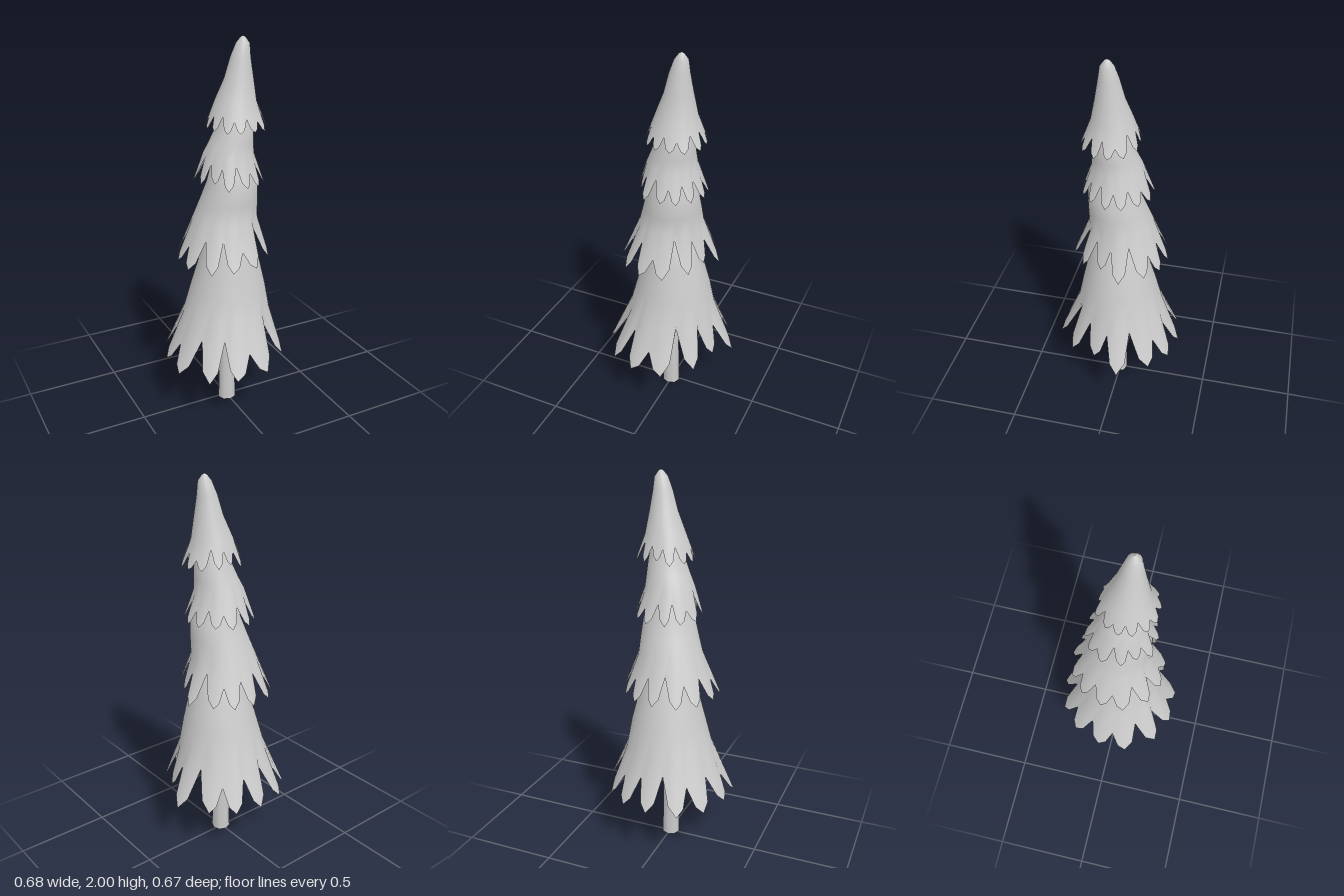
import * as THREE from 'three';

const material = new THREE.MeshStandardMaterial({ color: 0xcccccc, side: THREE.DoubleSide });

// Uneven teeth of a hem: direction in degrees from +x towards +z, reach of the tip,
// reach of the notch before it (0 = average notch, 1 = average tip)
const TEETH = [
  [-90, 0.95, -0.07], [-65, 0.94, 0.05], [-40, 0.89, 0.22], [-9, 1.05, -0.21], [17, 0.4, -0.09],
  [45, 0.71, -0.27], [77, 0.96, -0.42], [107, 1.04, 0.34], [131, 1.18, -0.05], [162, 1.14, 0],
  [189, 1, 0.35], [217, 1.05, 0.12], [242, 1.06, 0.26],
];

// Each tier: rows [y, centre x, centre z, radius] from top to bottom,
// then radius and height of the notches and of the tips of its jagged hem
const TIERS = [
  { name: 'bottomTier', turn: 0, notch: [0.258, 0.47], tip: [0.343, 0.3],
    rows: [[1.12, 0.01, 0.02, 0], [1.08, 0.01, 0.02, 0.1], [0.88, 0.012, 0.01, 0.152],
      [0.7, 0.008, 0.003, 0.2], [0.57, 0.002, 0, 0.23]] },
  { name: 'lowerMiddleTier', turn: 0, notch: [0.194, 1.005], tip: [0.256, 0.87],
    rows: [[1.5, 0.02, 0.03, 0], [1.46, 0.02, 0.03, 0.085], [1.28, 0.018, 0.03, 0.13],
      [1.18, 0.007, 0.012, 0.15], [1.09, -0.005, -0.005, 0.167]] },
  { name: 'upperMiddleTier', turn: 125, notch: [0.144, 1.37], tip: [0.183, 1.28],
    rows: [[1.74, 0.038, 0.035, 0], [1.7, 0.038, 0.035, 0.06], [1.56, 0.03, 0.03, 0.095],
      [1.49, 0.018, 0.022, 0.112], [1.43, 0.006, 0.013, 0.128]] },
  { name: 'topTier', turn: 250, notch: [0.125, 1.63], tip: [0.154, 1.56],
    rows: [[2, 0.067, 0.045, 0], [1.993, 0.067, 0.045, 0.013], [1.965, 0.066, 0.045, 0.034],
      [1.9, 0.056, 0.041, 0.05], [1.8, 0.05, 0.037, 0.072], [1.69, 0.036, 0.029, 0.104]] },
];

// Hem columns [angle, reach outwards, reach downwards]: notch, shoulder, tip, shoulder
function hemColumns(turn) {
  const { lerp, degToRad } = THREE.MathUtils;
  const count = TEETH.length;
  const columns = [];
  TEETH.forEach(([tip, out, notchOut], i) => {
    const before = TEETH[(i + count - 1) % count][0] - (i === 0 ? 360 : 0);
    const [next, , nextOut] = TEETH[(i + 1) % count];
    const after = next + (i === count - 1 ? 360 : 0);
    const down = (1 + out) / 2;
    const start = (before + tip) / 2;
    const end = (tip + after) / 2;
    columns.push(
      [start, notchOut, notchOut],
      [lerp(start, tip, 0.48), lerp(notchOut, out, 0.72), lerp(notchOut, down, 0.72)],
      [tip, out, down],
      [lerp(end, tip, 0.48), lerp(nextOut, out, 0.72), lerp(nextOut, down, 0.72)],
    );
  });
  return columns.map(([angle, out, down]) => [degToRad(angle + turn), out, down]);
}

// Joins rings of equal length into a smooth surface
function loft(rings) {
  const n = rings[0].length;
  const index = [];
  for (let r = 0; r < rings.length - 1; r++) {
    for (let i = 0; i < n; i++) {
      const j = (i + 1) % n;
      const a = r * n + i, b = r * n + j, c = a + n, d = b + n;
      index.push(a, d, c, a, b, d);
    }
  }
  const geometry = new THREE.BufferGeometry();
  geometry.setAttribute('position', new THREE.Float32BufferAttribute(rings.flat(2), 3));
  geometry.setIndex(index);
  geometry.computeVertexNormals();
  return geometry;
}

function addMesh(parent, name, geometry) {
  const mesh = new THREE.Mesh(geometry, material);
  mesh.name = name;
  parent.add(mesh);
}

// Leaning hollow cone of foliage ending in pointed teeth
function tierGeometry({ turn, notch, tip, rows }) {
  const { lerp } = THREE.MathUtils;
  const columns = hemColumns(turn);
  const [, hemX, hemZ] = rows[rows.length - 1];
  const point = (x, z, r, y, a) => [x + r * Math.cos(a), y, z + r * Math.sin(a)];
  const rings = rows.map(([y, x, z, r]) => columns.map(([a]) => point(x, z, r, y, a)));
  rings.push(columns.map(([a, out, down]) =>
    point(hemX, hemZ, lerp(notch[0], tip[0], out), lerp(notch[1], tip[1], down), a)));
  return loft(rings);
}

export function createModel() {
  const model = new THREE.Group();
  model.name = 'firTree';

  // Slightly tapered open trunk reaching into the bottom tier
  const trunk = new THREE.CylinderGeometry(0.042, 0.05, 0.49, 8, 1, true);
  trunk.translate(-0.002, 0.245, 0.01);
  addMesh(model, 'trunk', trunk);

  TIERS.forEach((tier) => addMesh(model, tier.name, tierGeometry(tier)));
  return model;
}
